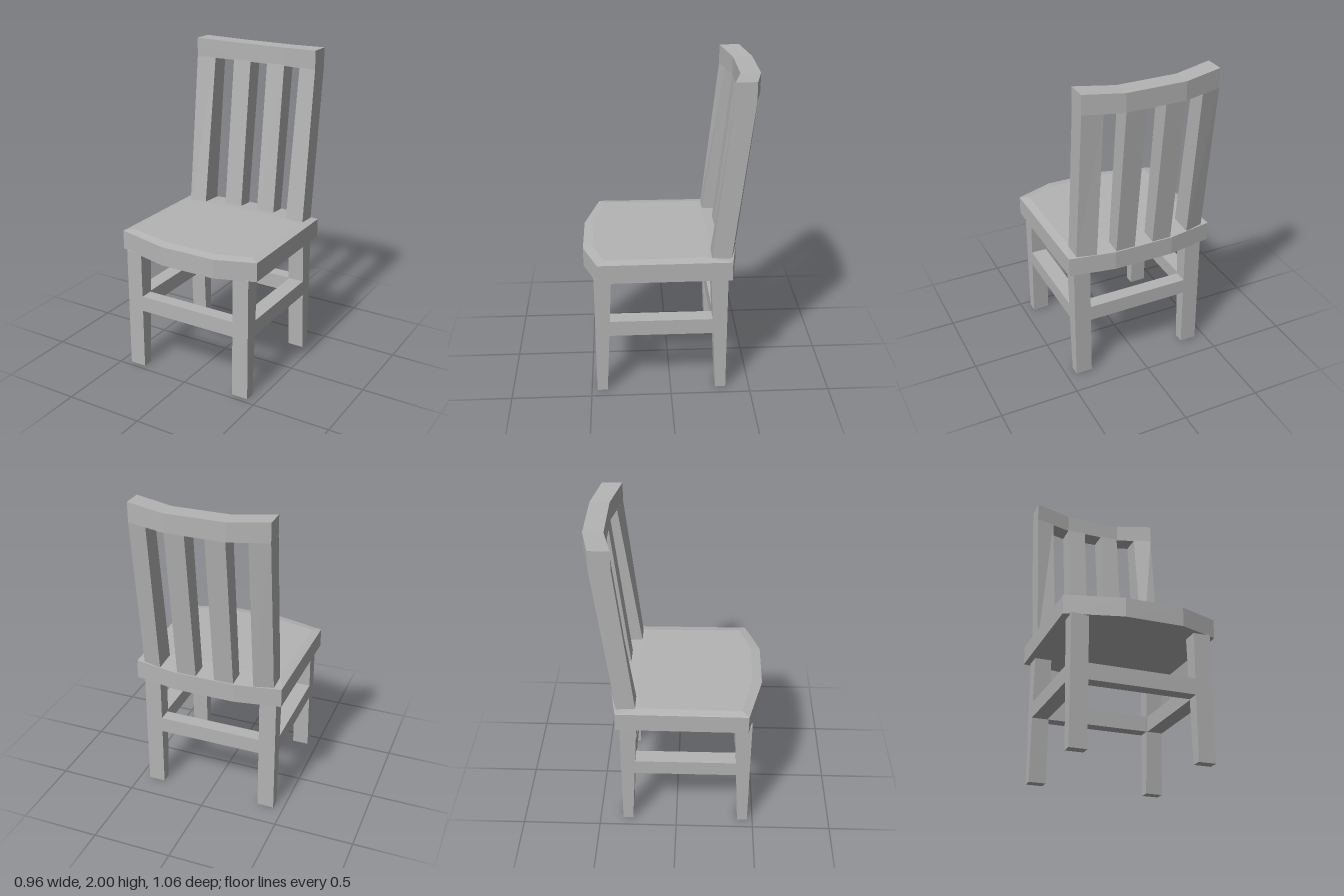
import * as THREE from 'three';

const grey = new THREE.MeshStandardMaterial({ color: 0xb4b4b4 });
grey.name = 'grey';

// Closed solid through a list of rings; each ring turns counterclockwise around the loft direction.
function loft(name, rings) {
  const n = rings[0].length, index = [];
  for (let r = 0; r < rings.length - 1; r++) {
    for (let j = 0; j < n; j++) {
      const k = (j + 1) % n;
      const a = r * n + j, b = r * n + k, c = b + n, d = a + n;
      index.push(a, b, c, a, c, d);
    }
  }
  const last = (rings.length - 1) * n;
  for (let j = 1; j < n - 1; j++) {
    index.push(0, j + 1, j);
    index.push(last, last + j, last + j + 1);
  }
  const g = new THREE.BufferGeometry();
  g.setAttribute('position', new THREE.Float32BufferAttribute(rings.flat(2), 3));
  g.setIndex(index);
  const flat = g.toNonIndexed();
  flat.computeVertexNormals();
  const mesh = new THREE.Mesh(flat, grey);
  mesh.name = name;
  return mesh;
}

// Horizontal four-cornered ring; front and back depth may differ between its two x ends.
const quad = (y, x0, x1, f0, f1, b0, b1) => [[x0, y, f0], [x1, y, f1], [x1, y, b1], [x0, y, b0]];

// Upright bar on either side, described by its inner and outer x and its depths there.
function bar(name, side, inner, outer, sections) {
  return loft(name, sections.map(([y, fi, fo, bi, bo]) => side > 0
    ? quad(y, inner, outer, fi, fo, bi, bo)
    : quad(y, -outer, -inner, fo, fi, bo, bi)));
}

function box(name, w, h, d, x, y, z) {
  const mesh = new THREE.Mesh(new THREE.BoxGeometry(w, h, d), grey);
  mesh.name = name;
  mesh.position.set(x, y, z);
  return mesh;
}

export function createModel() {
  const chair = new THREE.Group();
  chair.name = 'chair';

  // Seat with bowed front and back edges and a slightly raised top
  const outline = [[-0.48, 0.44], [-0.13, 0.53], [0.235, 0.53], [0.48, 0.44],
    [0.475, -0.37], [0.19, -0.42], [-0.19, -0.42], [-0.475, -0.37]];
  const raised = [[-0.43, 0.4], [-0.12, 0.47], [0.225, 0.47], [0.43, 0.4],
    [0.42, -0.22], [0.2, -0.25], [-0.2, -0.25], [-0.42, -0.22]];
  const level = (points, y) => points.map(([x, z]) => [x, y, z]);
  chair.add(loft('seat', [level(outline, 0.79), level(outline, 0.91), level(raised, 0.92)]));

  // Curved top rail, lofted from left to right
  const rail = [[-0.425, 1.88, 2.0, -0.355, -0.48], [-0.185, 1.87, 1.985, -0.412, -0.532],
    [0.185, 1.87, 1.985, -0.412, -0.532], [0.425, 1.88, 2.0, -0.355, -0.48]];
  chair.add(loft('topRail', rail.map(([x, y0, y1, f, b]) =>
    [[x, y0, b], [x, y1, b], [x, y1, f], [x, y0, f]])));

  for (const side of [1, -1]) {
    const s = side > 0 ? 'left' : 'right';

    // Leaning posts and slats of the back
    chair.add(bar(s + 'BackPost', side, 0.305, 0.425, [
      [0.9, -0.247, -0.247, -0.395, -0.365],
      [1.88, -0.383, -0.355, -0.506, -0.48]]));
    chair.add(bar(s + 'BackSlat', side, 0.06, 0.183, [
      [0.9, -0.304, -0.304, -0.41, -0.41],
      [1.875, -0.412, -0.412, -0.532, -0.532]]));

    // Legs tapering on their inner faces
    chair.add(bar(s + 'FrontLeg', side, 0.33, 0.437, [
      [0, 0.465, 0.465, 0.4, 0.4],
      [0.795, 0.465, 0.465, 0.36, 0.36]]));
    chair.add(bar(s + 'BackLeg', side, 0.33, 0.437, [
      [0, -0.285, -0.285, -0.35, -0.35],
      [0.795, -0.245, -0.245, -0.35, -0.35]]));

    // Side stretcher
    chair.add(box(s + 'Stretcher', 0.1, 0.1, 0.68, side * 0.387, 0.45, 0.06));
  }

  // Front and back stretchers
  chair.add(box('frontStretcher', 0.7, 0.1, 0.085, 0, 0.45, 0.4225));
  chair.add(box('backStretcher', 0.7, 0.1, 0.085, 0, 0.45, -0.3075));

  return chair;
}
